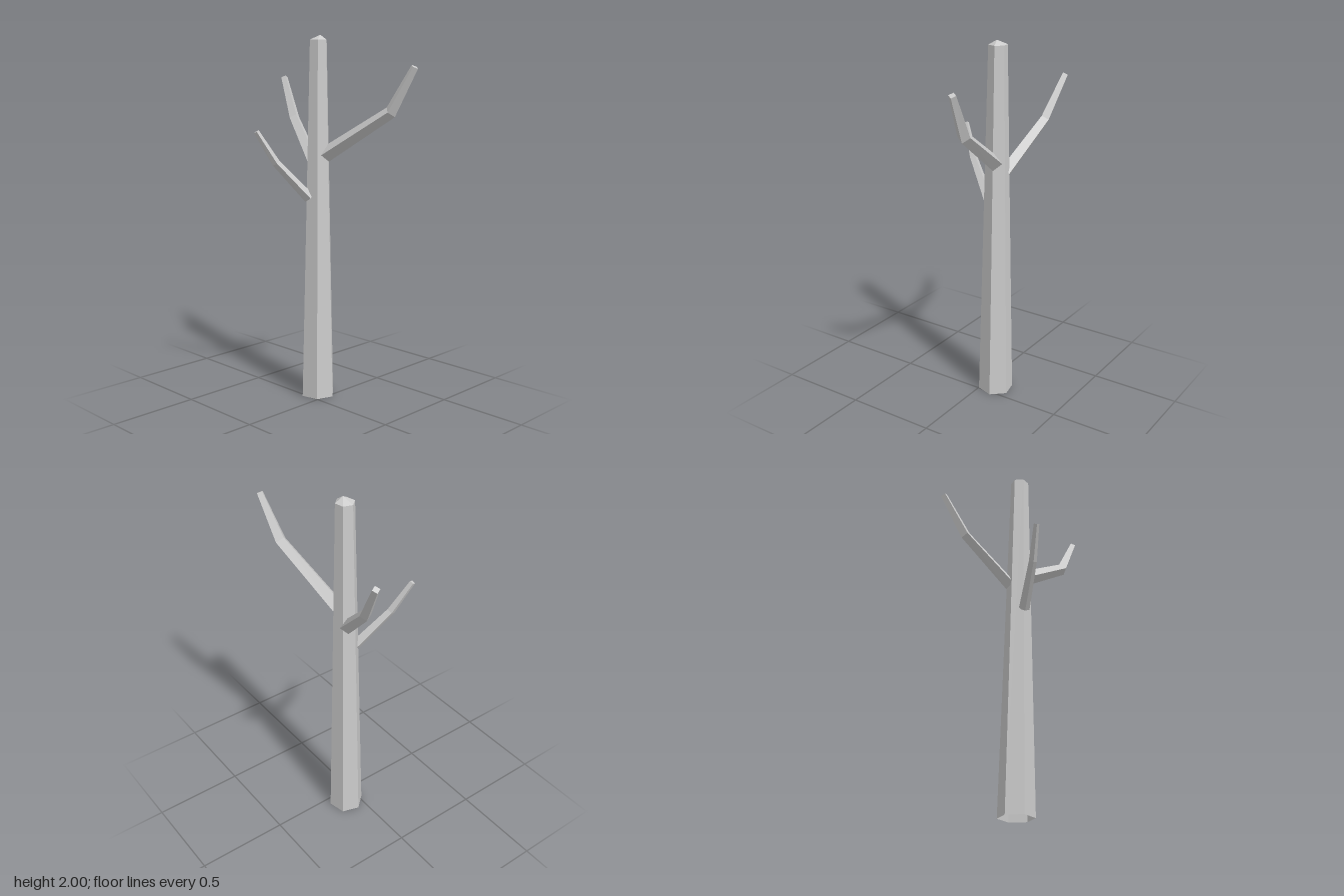
import * as THREE from 'three';

const V = (x, y, z) => new THREE.Vector3(x, y, z);

const material = new THREE.MeshStandardMaterial({
  color: 0xcccccc, flatShading: true, side: THREE.DoubleSide,
});

// Skin a row of equal-sided rings (counter-clockwise around the path), closed at the end by a fan to tip
function loft(name, rings, tip) {
  const sides = rings[0].length;
  const positions = [];
  const index = [];
  for (const p of [...rings.flat(), tip]) positions.push(p.x, p.y, p.z);
  const last = rings.length - 1;
  for (let i = 0; i < sides; i++) {
    const j = (i + 1) % sides;
    for (let r = 0; r < last; r++) {
      const a = r * sides, b = a + sides;
      index.push(a + i, a + j, b + j, a + i, b + j, b + i);
    }
    index.push(last * sides + i, last * sides + j, rings.length * sides);
  }
  const geometry = new THREE.BufferGeometry();
  geometry.setAttribute('position', new THREE.Float32BufferAttribute(positions, 3));
  geometry.setIndex(index);
  geometry.computeVertexNormals();
  const mesh = new THREE.Mesh(geometry, material);
  mesh.name = name;
  return mesh;
}

// Horizontal six-sided ring of the trunk
function trunkRing(x, y, z, radius) {
  return Array.from({ length: 6 }, (_, i) => {
    const a = THREE.MathUtils.degToRad(48 - 60 * i);
    return V(x + radius * Math.cos(a), y, z + radius * Math.sin(a));
  });
}

// Bent, tapering four-sided branch with a ridge along its top
function branch(name, points, radii) {
  const rings = points.map((p, k) => {
    const dir = V(0, 0, 0);
    if (k > 0) dir.add(p.clone().sub(points[k - 1]).normalize());
    if (k < points.length - 1) dir.add(points[k + 1].clone().sub(p).normalize());
    dir.normalize();
    const side = V(0, 1, 0).cross(dir).normalize();
    const up = dir.clone().cross(side);
    return Array.from({ length: 4 }, (_, i) => {
      const a = i * Math.PI / 2;
      return p.clone()
        .addScaledVector(side, radii[k] * Math.cos(a))
        .addScaledVector(up, radii[k] * Math.sin(a));
    });
  });
  return loft(name, rings, points[points.length - 1]);
}

export function createModel() {
  const tree = new THREE.Group();
  tree.name = 'bareTree';

  // Tapered trunk, open underneath, with a low pointed top
  tree.add(loft('trunk', [
    trunkRing(-0.07, 0, -0.073, 0.097),
    trunkRing(-0.068, 1.975, -0.073, 0.05),
  ], V(-0.055, 2, -0.075)));

  // Three bent branches
  tree.add(branch('leftBranch',
    [V(-0.025, 1.365, -0.085), V(0.365, 1.605, -0.165), V(0.495, 1.835, -0.193)],
    [0.043, 0.034, 0.02]));
  tree.add(branch('rightBranch',
    [V(-0.11, 1.295, -0.095), V(-0.37, 1.545, -0.182), V(-0.5, 1.77, -0.226)],
    [0.038, 0.03, 0.02]));
  tree.add(branch('frontBranch',
    [V(-0.08, 1.13, -0.015), V(-0.168, 1.325, 0.145), V(-0.225, 1.495, 0.233)],
    [0.03, 0.022, 0.015]));

  return tree;
}
